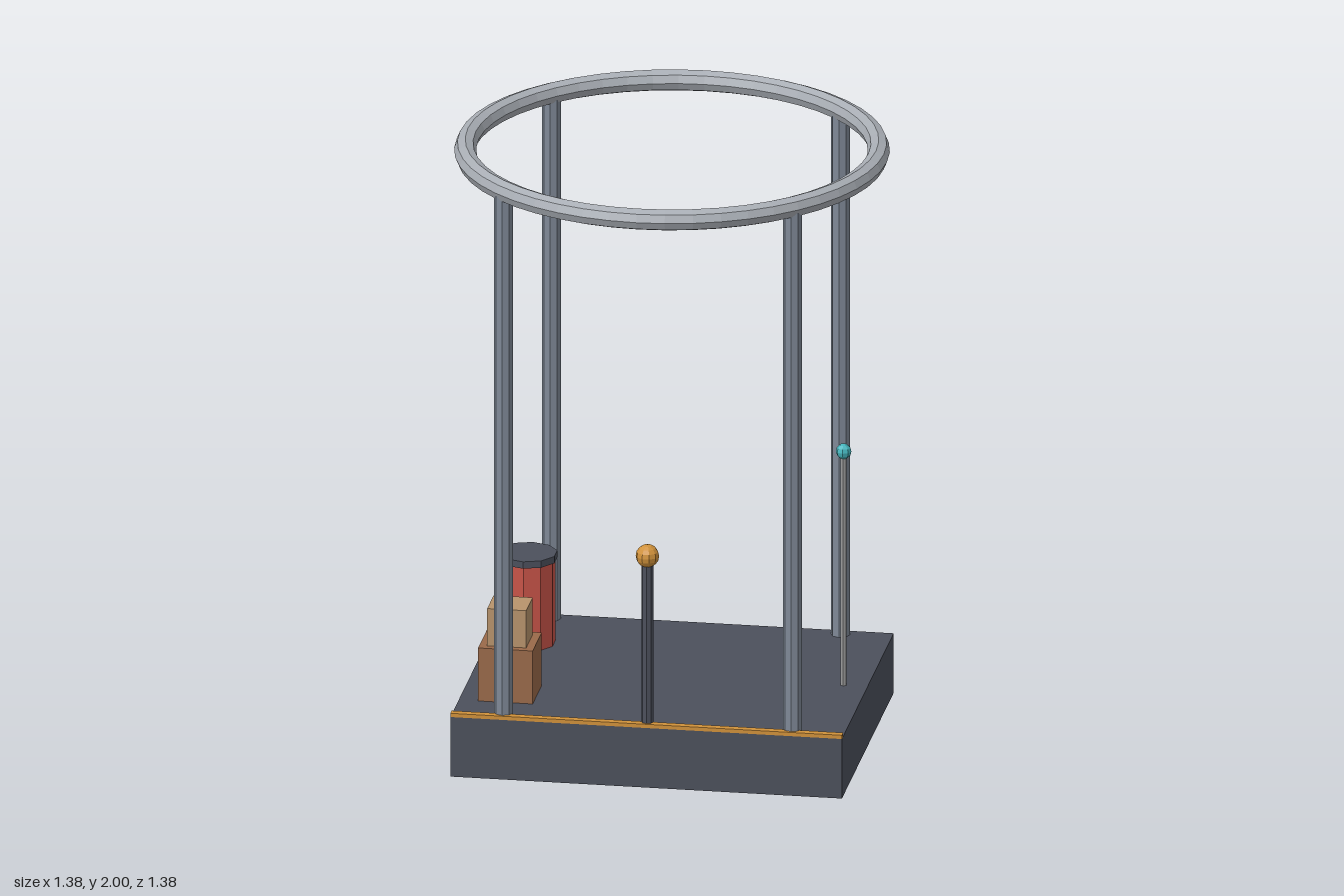
import * as THREE from 'three';

const mat = (name, color) => {
  const m = new THREE.MeshStandardMaterial({ color, flatShading: true });
  m.name = name;
  return m;
};

export function createModel() {
  const model = new THREE.Group();
  model.name = 'platform';

  const slate = mat('slate', 0x4c505c);
  const steel = mat('steel', 0x7f8997);
  const paleSteel = mat('paleSteel', 0xa9aeb5);
  const rodGrey = mat('rodGrey', 0x9a9a9a);
  const amber = mat('amber', 0xd0913a);
  const teal = mat('teal', 0x45b5bd);
  const red = mat('red', 0xc85448);
  const brown = mat('brown', 0x9a6a4a);
  const tan = mat('tan', 0xb8946c);

  const add = (name, geometry, material, x, y, z) => {
    const mesh = new THREE.Mesh(geometry, material);
    mesh.name = name;
    mesh.position.set(x, y, z);
    model.add(mesh);
    return mesh;
  };
  // Upright cylinder and box placed by their bottom height
  const post = (name, r, y0, y1, sides, material, x, z) =>
    add(name, new THREE.CylinderGeometry(r, r, y1 - y0, sides), material, x, (y0 + y1) / 2, z);
  const box = (name, w, y0, y1, d, material, x, z) =>
    add(name, new THREE.BoxGeometry(w, y1 - y0, d), material, x, (y0 + y1) / 2, z);

  // Base slab with the edge stripe along the front
  box('base', 1.255, 0, 0.2, 1, slate, 0, 0);
  box('frontStripe', 1.255, 0.2, 0.2125, 0.025, amber, 0, 0.4875);

  // Four posts carrying the overhead ring
  for (const x of [-0.463, 0.463])
    for (const z of [-0.463, 0.463]) post('post', 0.03, 0.2, 1.965, 8, steel, x, z);
  add('topRing', new THREE.TorusGeometry(0.654, 0.035, 8, 48), paleSteel, 0, 1.965, 0)
    .rotation.x = Math.PI / 2;

  // Control lever at the front edge
  post('leverRod', 0.019, 0.2, 0.77, 8, slate, 0, 0.475);
  add('leverKnob', new THREE.SphereGeometry(0.0375, 10, 8), amber, 0, 0.77, 0.475);

  // Antenna on the left side
  post('antennaRod', 0.0105, 0.2, 0.98, 6, rodGrey, 0.55, 0);
  add('antennaTip', new THREE.SphereGeometry(0.025, 8, 6), teal, 0.55, 0.985, 0);

  // Barrel with lid
  post('barrel', 0.0875, 0.2, 0.48, 10, red, -0.5, -0.23);
  post('barrelLid', 0.094, 0.48, 0.503, 10, slate, -0.5, -0.23);

  // Stacked crates
  box('largeCrate', 0.175, 0.2, 0.378, 0.175, brown, -0.478, 0.25);
  box('smallCrate', 0.125, 0.378, 0.503, 0.125, tan, -0.478, 0.25);

  return model;
}
